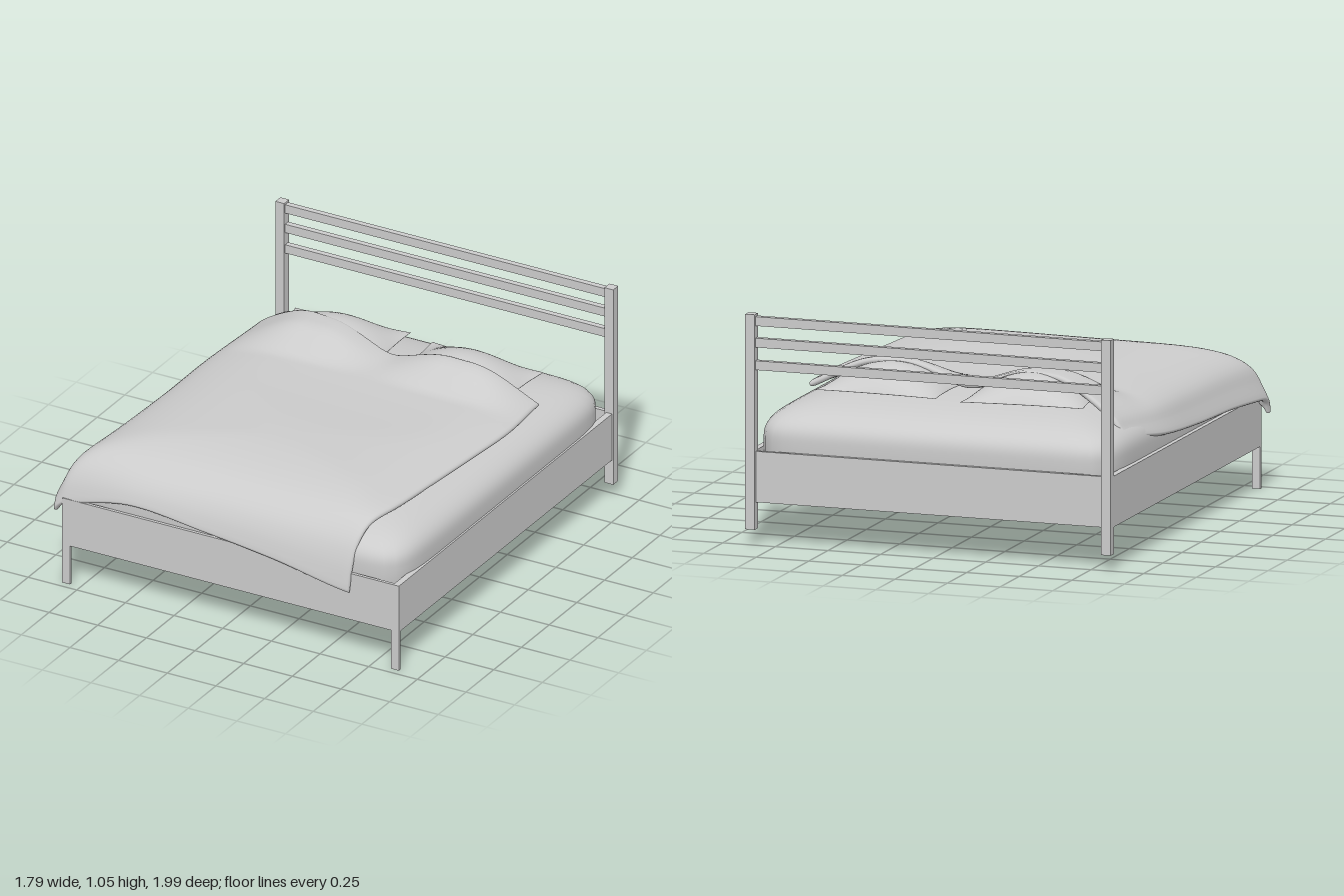
import * as THREE from 'three';

const { smoothstep, lerp } = THREE.MathUtils;
const grey = new THREE.MeshStandardMaterial({ color: 0xcccccc });
const greyShell = new THREE.MeshStandardMaterial({ color: 0xcccccc, side: THREE.DoubleSide });

// Smooth function of t in 0..1 through evenly spaced values
function through(values) {
  const curve = new THREE.SplineCurve(values.map((v, i) => new THREE.Vector2(i, v)));
  return t => curve.getPoint(Math.min(1, Math.max(0, t))).y;
}

const profile = points => new THREE.SplineCurve(points.map(p => new THREE.Vector2(...p)));

function makeGeometry(positions, index) {
  const g = new THREE.BufferGeometry();
  g.setAttribute('position', new THREE.Float32BufferAttribute(positions, 3));
  g.setIndex(index);
  g.computeVertexNormals();
  return g;
}

// Closed padded sheet: mid(u, v) is the middle surface, half(u, v) the half thickness
function padded(mid, half, samples) {
  const n = samples.length, positions = [], index = [], e = 0.004;
  for (const side of [1, -1]) {
    for (const v of samples) for (const u of samples) {
      const u0 = Math.max(0, u - e), u1 = Math.min(1, u + e);
      const v0 = Math.max(0, v - e), v1 = Math.min(1, v + e);
      const normal = mid(u, v1).sub(mid(u, v0)).cross(mid(u1, v).sub(mid(u0, v))).normalize();
      positions.push(...mid(u, v).addScaledVector(normal, side * half(u, v)));
    }
  }
  // the underside shares the rim vertices of the upper side
  const at = (s, i, j) => {
    const rim = i === 0 || j === 0 || i === n - 1 || j === n - 1;
    return (s && !rim ? n * n : 0) + j * n + i;
  };
  for (let s = 0; s < 2; s++) for (let j = 0; j < n - 1; j++) for (let i = 0; i < n - 1; i++) {
    const a = at(s, i, j), b = at(s, i + 1, j), c = at(s, i, j + 1), d = at(s, i + 1, j + 1);
    if (s === 0) index.push(a, c, b, b, c, d);
    else index.push(a, b, c, b, d, c);
  }
  return makeGeometry(positions, index);
}

// Open shell: squarish plan, short wall below a softly rounded dome
function mattressGeometry(hx, hz, up, wall) {
  const around = 144, rows = 28, positions = [], index = [];
  const radius = (c, s, n) => (Math.abs(c) ** n + Math.abs(s) ** n) ** (-1 / n);
  const rings = [[0.985, -wall], [1, -wall / 2]];
  for (let j = 0; j <= rows; j++) {
    const phi = j / rows * Math.PI / 2, c = Math.cos(phi), s = Math.sin(phi);
    const r = radius(c, s, 3);
    rings.push([r * c, r * s * up]);
  }
  for (const [r, y] of rings) for (let i = 0; i < around; i++) {
    const a = i / around * Math.PI * 2, p = r * radius(Math.cos(a), Math.sin(a), 12);
    positions.push(hx * p * Math.cos(a), y, hz * p * Math.sin(a));
  }
  for (let j = 0; j < rings.length - 1; j++) for (let i = 0; i < around; i++) {
    const a = j * around + i, b = j * around + (i + 1) % around;
    index.push(a, a + around, b, b, a + around, b + around);
  }
  return makeGeometry(positions, index);
}

function duvetGeometry() {
  // outline of the cover in plan
  const leftX = through([-0.785, -0.83, -0.838, -0.855, -0.885]);
  const rightX = through([0.77, 0.783, 0.762, 0.735, 0.705, 0.64]);
  const backZ = through([-0.66, -0.565, -0.515, -0.485, -0.50]);
  const frontZ = through([0.955, 0.96, 0.965, 0.978, 0.983]);
  // how far the hems hang, relative to the profiles below
  const frontHang = through([1.1, 0.82, 0.93, 1.07, 1.3]);
  const leftHang = through([0.63, 0.82, 0.93, 0.97, 1.04]);
  // (fraction across, drop)
  const across = profile([[0, 0.27], [0.018, 0.2], [0.045, 0.113], [0.115, 0.055], [0.25, 0.018],
    [0.5, 0], [0.8, 0.01], [0.93, 0.035], [1, 0.06]]);
  const along = profile([[0, 0.02], [0.3, 0.018], [0.6, 0], [0.76, 0.012], [0.88, 0.05],
    [0.945, 0.11], [0.98, 0.185], [1, 0.28]]);
  const mid = (u, v) => {
    const a = across.getPointAt(u), b = along.getPointAt(v);
    const x = lerp(leftX(b.x), rightX(b.x), a.x);
    const z = lerp(backZ(a.x), frontZ(a.x), b.x);
    const dx = a.y * lerp(leftHang(b.x), 1, smoothstep(u, 0, 0.3));
    const dz = b.y * lerp(1, frontHang(a.x), smoothstep(v, 0.7, 1));
    // raised where it lies over the pillows
    let bump = 0;
    for (const cx of [-0.36, 0.38]) bump += 1 - smoothstep(Math.abs(x - cx), 0.05, 0.43);
    bump *= 0.092 * smoothstep(-z, 0.25, 0.46);
    return new THREE.Vector3(x, 0.7 - (dx ** 4 + dz ** 4) ** 0.25 + bump, z);
  };
  const half = (u, v) => {
    const e = Math.min(1, Math.min(u, 1 - u, v, 1 - v) / 0.01);
    return 0.015 * Math.sqrt(1 - (1 - e) ** 2);
  };
  const samples = [0, 0.001, 0.004, 0.01];
  for (let i = 1; i < 56; i++) samples.push(lerp(0.01, 0.99, i / 56));
  samples.push(0.99, 0.996, 0.999, 1);
  return padded(mid, half, samples);
}

function pillowGeometry(width, depth) {
  const swell = (u, v) => (Math.max(0, Math.sin(Math.PI * u)) ** 0.85) * (Math.max(0, Math.sin(Math.PI * v)) ** 0.85);
  const mid = (u, v) => {
    const a = 2 * u - 1, b = 2 * v - 1;
    return new THREE.Vector3(
      a * width / 2 * (1 - 0.05 * (1 - b * b)),
      0.045 * swell(u, v),
      b * depth / 2 * (1 - 0.05 * (1 - a * a)));
  };
  const samples = Array.from({ length: 29 }, (_, i) => 0.5 - 0.5 * Math.cos(Math.PI * i / 28));
  return padded(mid, (u, v) => 0.065 * swell(u, v), samples);
}

export function createModel() {
  const model = new THREE.Group();
  model.name = 'bed';
  const add = (name, geometry, parent = model, material = grey) => {
    const mesh = new THREE.Mesh(geometry, material);
    mesh.name = name;
    parent.add(mesh);
    return mesh;
  };
  // box given by its limits on each axis
  const box = (name, parent, [x0, x1], [y0, y1], [z0, z1]) =>
    add(name, new THREE.BoxGeometry(x1 - x0, y1 - y0, z1 - z0), parent)
      .position.set((x0 + x1) / 2, (y0 + y1) / 2, (z0 + z1) / 2);

  // Frame panels and front legs
  const frame = new THREE.Group();
  frame.name = 'frame';
  model.add(frame);
  const L = -0.843, R = 0.887, panelY = [0.193, 0.425];
  box('frontPanel', frame, [L, R], panelY, [0.953, 0.968]);
  box('backPanel', frame, [L + 0.04, R - 0.035], panelY, [-0.985, -0.965]);
  box('leftPanel', frame, [R - 0.03, R], panelY, [-0.96, 0.953]);
  box('rightPanel', frame, [L, L + 0.03], panelY, [-0.96, 0.953]);
  box('frontRightLeg', frame, [L, L + 0.04], [0, 0.193], [0.953, 0.968]);
  box('frontLeftLeg', frame, [R - 0.04, R], [0, 0.193], [0.953, 0.968]);

  // Headboard posts and rails
  const headboard = new THREE.Group();
  headboard.name = 'headboard';
  model.add(headboard);
  box('rightPost', headboard, [L, L + 0.045], [0.07, 1.05], [-1, -0.955]);
  box('leftPost', headboard, [R - 0.039, R + 0.006], [0.07, 1.05], [-1, -0.955]);
  for (const y of [0.797, 0.9, 0.998])
    box('headboardRail', headboard, [L + 0.04, R - 0.035], [y, y + 0.042], [-0.992, -0.964]);

  // Bedding
  add('mattress', mattressGeometry(0.85, 0.955, 0.205, 0.14), model, greyShell).position.set(0.028, 0.46, -0.005);
  add('duvet', duvetGeometry());
  const rightPillow = add('rightPillow', pillowGeometry(0.57, 0.42));
  rightPillow.position.set(-0.315, 0.672, -0.55);
  rightPillow.rotation.y = 0.08;
  const leftPillow = add('leftPillow', pillowGeometry(0.58, 0.42));
  leftPillow.position.set(0.365, 0.672, -0.535);
  leftPillow.rotation.y = -0.02;
  return model;
}
